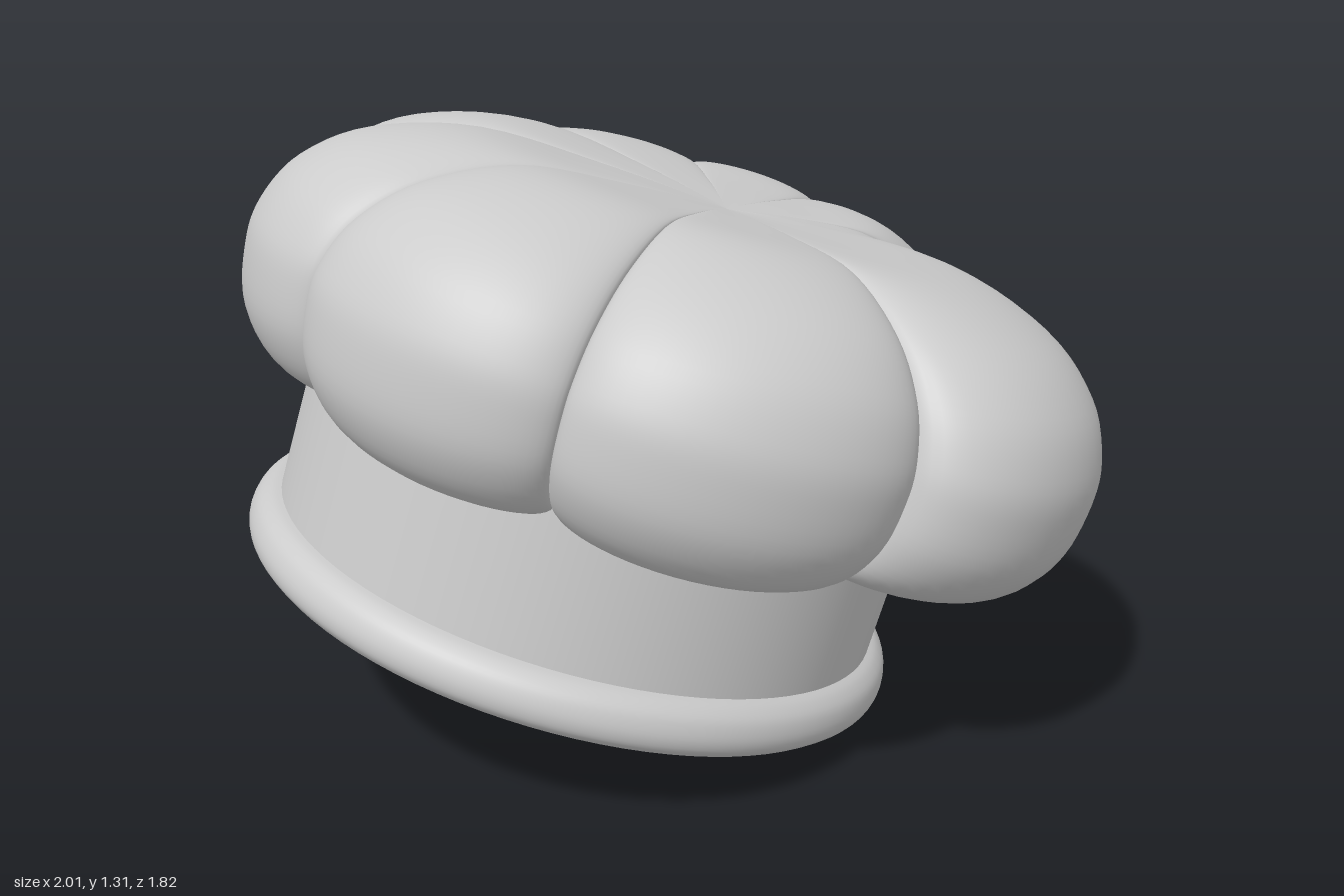
import * as THREE from 'three';

// Seams between puffs: [angle in degrees, radius]
const SEAMS = [[-47, 0.775], [16, 0.87], [63, 0.81], [112, 0.78], [158, 0.85], [197, 0.945],
  [232, 0.96], [266, 0.92], [302, 0.78], [313, 0.775]];
// Puff radius between seam i and i+1; 0 is a plain fold without a puff
const PEAKS = [1.055, 0.935, 0.875, 0.89, 0.97, 1.015, 1.0, 0.92, 0];
const MID = 0.64; // height of the widest part of the puffs
const HUB = { x: 0.08, z: -0.07 }; // where the seams meet on top

const vec2 = ([x, y]) => new THREE.Vector2(x, y);

// Puff cross-section from hub over the top and under: (share of radius, height)
const profile = new THREE.SplineCurve([
  [0, 0.94], [0.3, 0.958], [0.58, 0.965], [0.8, 0.905], [0.93, 0.81], [0.99, 0.7], [1, 0.6],
  [0.975, 0.48], [0.89, 0.385], [0.74, 0.35], [0.54, 0.365],
].map(vec2)).getPoints(50);

// One puff: a wedge that swells between its two seams
function puffGeometry([a0, r0], [a1, r1], peak) {
  const n = 32, m = profile.length, pos = [], index = [];
  for (let i = 0; i <= n; i++) {
    const t = -Math.cos(Math.PI * i / n), u = (t + 1) / 2;
    const bulge = peak ? Math.pow(Math.max(0, 1 - t * t), 0.55) : 0;
    const angle = THREE.MathUtils.degToRad(a0 + (a1 - a0) * u);
    const R = r0 + (r1 - r0) * u + (peak - (r0 + r1) / 2) * bulge;
    profile.forEach((p, j) => {
      const share = Math.min(1, p.x), hub = 1 - share;
      const squash = 1 - 0.2 * (1 - bulge) * share * share;
      pos.push(HUB.x * hub + R * p.x * Math.cos(angle), MID + (p.y - MID) * squash,
        HUB.z * hub + R * p.x * Math.sin(angle));
      if (i < n && j < m - 1) {
        const a = i * m + j, b = a + m;
        index.push(a, b, a + 1, b, b + 1, a + 1);
      }
    });
  }
  const g = new THREE.BufferGeometry();
  g.setAttribute('position', new THREE.Float32BufferAttribute(pos, 3));
  g.setIndex(index);
  g.computeVertexNormals();
  return g;
}

export function createModel() {
  const mat = new THREE.MeshStandardMaterial({ color: 0xcccccc, side: THREE.DoubleSide });
  const model = new THREE.Group();

  // A group whose own up axis leans towards the model's left and back
  const leaning = (name, up, position) => {
    const group = new THREE.Group();
    group.name = name;
    group.quaternion.setFromUnitVectors(new THREE.Vector3(0, 1, 0), new THREE.Vector3(...up).normalize());
    group.position.set(...position);
    model.add(group);
    return group;
  };
  const add = (parent, name, geometry, y = 0) => {
    const mesh = new THREE.Mesh(geometry, mat);
    mesh.name = name;
    mesh.position.y = y;
    parent.add(mesh);
  };

  // Head band with a rounded rim and a flat, closed underside
  const base = leaning('base', [0.205, 1, -0.222], [-0.16, 0.218, 0.172]);
  add(base, 'band', new THREE.CylinderGeometry(0.705, 0.705, 0.48, 96, 1, true), 0.24);
  const rim = new THREE.SplineCurve([
    [0.735, 0], [0.754, 0.02], [0.76, 0.05], [0.75, 0.085], [0.727, 0.107], [0.704, 0.115],
  ].map(vec2));
  add(base, 'rim', new THREE.LatheGeometry(rim.getPoints(20), 96));
  add(base, 'underside', new THREE.CircleGeometry(0.735, 96).rotateX(Math.PI / 2));

  // Puffed crown
  const crown = leaning('crown', [0.2, 1, -0.203], [-0.155, 0.25, 0.165]);
  PEAKS.forEach((peak, i) =>
    add(crown, peak ? 'puff' : 'fold', puffGeometry(SEAMS[i], SEAMS[i + 1], peak)));

  return model;
}
